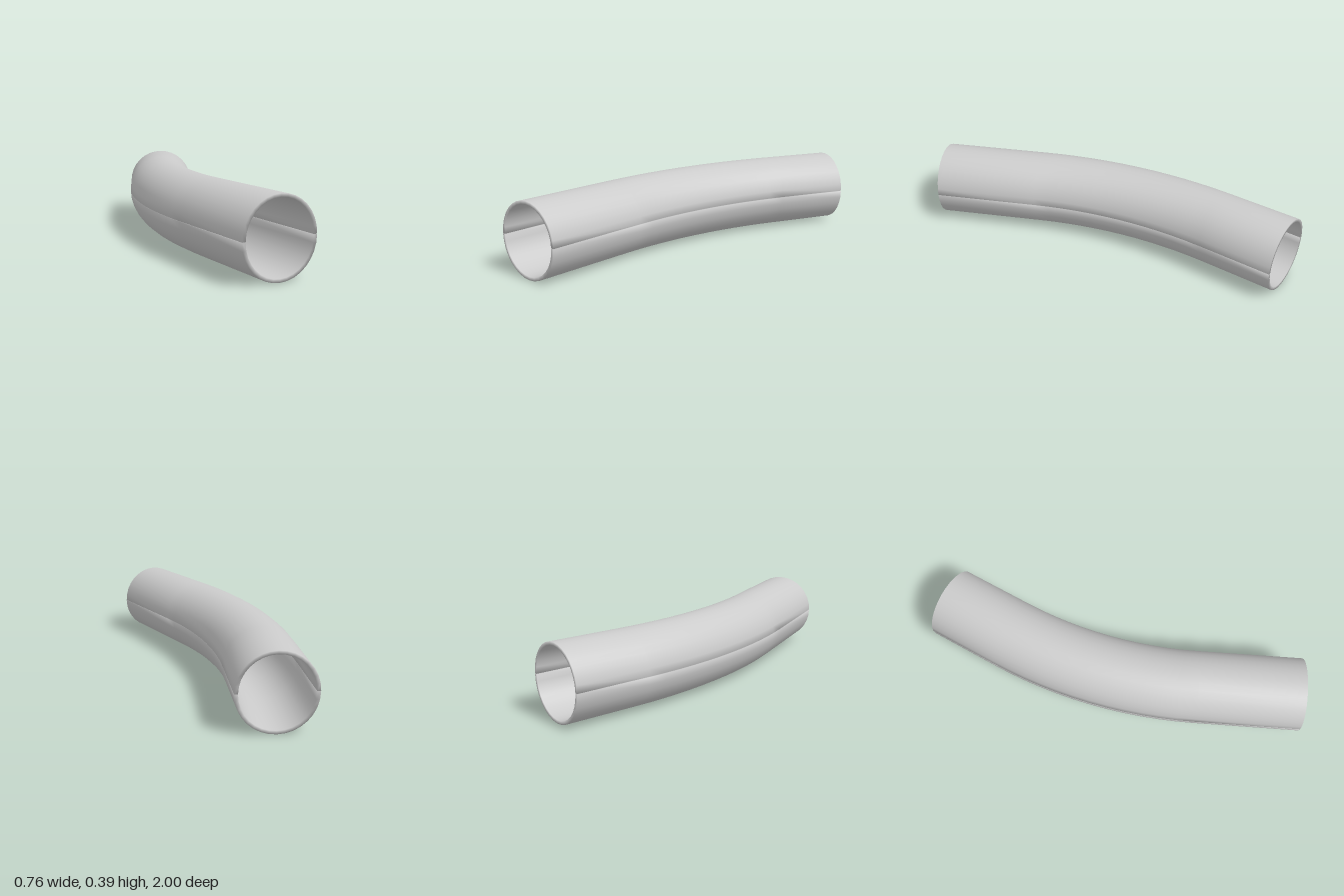
import * as THREE from 'three';

const OUTER = 0.192, INNER = 0.175;   // pipe radii
const BEND = THREE.MathUtils.degToRad(25), BEND_RADIUS = 2.39;
const START_X = -0.186, CENTRE_Y = 0.1935, ARC_Z = 0.447;
const END_LENGTH = 0.393, ARC_STEPS = 12, SIDES = 16, GAP = 0.0015;

// Stations along the pipe: straight run, circular bend, straight run
function stations() {
  const list = [{ x: START_X, z: 1, a: 0 }];
  for (let k = 0; k <= ARC_STEPS; k++) {
    const a = (BEND * k) / ARC_STEPS;
    list.push({
      x: START_X + BEND_RADIUS * (1 - Math.cos(a)),
      z: ARC_Z - BEND_RADIUS * Math.sin(a),
      a,
    });
  }
  const last = list[list.length - 1];
  list.push({
    x: last.x + END_LENGTH * Math.sin(BEND),
    z: last.z - END_LENGTH * Math.cos(BEND),
    a: BEND,
  });
  return list;
}

// Closed half-ring section: outer arc, then inner arc back
function halfSection(startAngle, offset) {
  const points = [];
  const add = (r, i) => {
    const t = startAngle + (Math.PI * i) / SIDES;
    points.push([r * Math.cos(t), r * Math.sin(t) + offset]);
  };
  for (let i = 0; i <= SIDES; i++) add(OUTER, i);
  for (let i = SIDES; i >= 0; i--) add(INNER, i);
  return points;
}

// Sweep a section along the stations and close both end rims
function sweepShell(section) {
  const path = stations(), n = section.length;
  const positions = [], index = [];
  for (const { x, z, a } of path) {
    for (const [u, v] of section) {
      positions.push(x + u * Math.cos(a), CENTRE_Y + v, z + u * Math.sin(a));
    }
  }
  for (let j = 0; j < path.length - 1; j++) {
    for (let i = 0; i < n; i++) {
      const a = j * n + i, b = j * n + ((i + 1) % n);
      index.push(a, a + n, b, b, a + n, b + n);
    }
  }
  const back = (path.length - 1) * n;
  for (let i = 0; i < SIDES; i++) {
    const o0 = i, o1 = i + 1, i0 = n - 1 - i, i1 = n - 2 - i;
    index.push(o0, o1, i1, o0, i1, i0);
    index.push(back + o0, back + i1, back + o1, back + o0, back + i0, back + i1);
  }
  const geometry = new THREE.BufferGeometry();
  geometry.setAttribute('position', new THREE.Float32BufferAttribute(positions, 3));
  geometry.setIndex(index);
  geometry.computeVertexNormals();
  return geometry;
}

export function createModel() {
  const group = new THREE.Group();
  group.name = 'bentPipe';
  const material = new THREE.MeshStandardMaterial({ color: 0xcccccc });

  // Two half shells meeting at a fine horizontal seam
  const halves = [['upperShell', 0, GAP], ['lowerShell', Math.PI, -GAP]];
  for (const [name, startAngle, offset] of halves) {
    const mesh = new THREE.Mesh(sweepShell(halfSection(startAngle, offset)), material);
    mesh.name = name;
    group.add(mesh);
  }
  return group;
}
